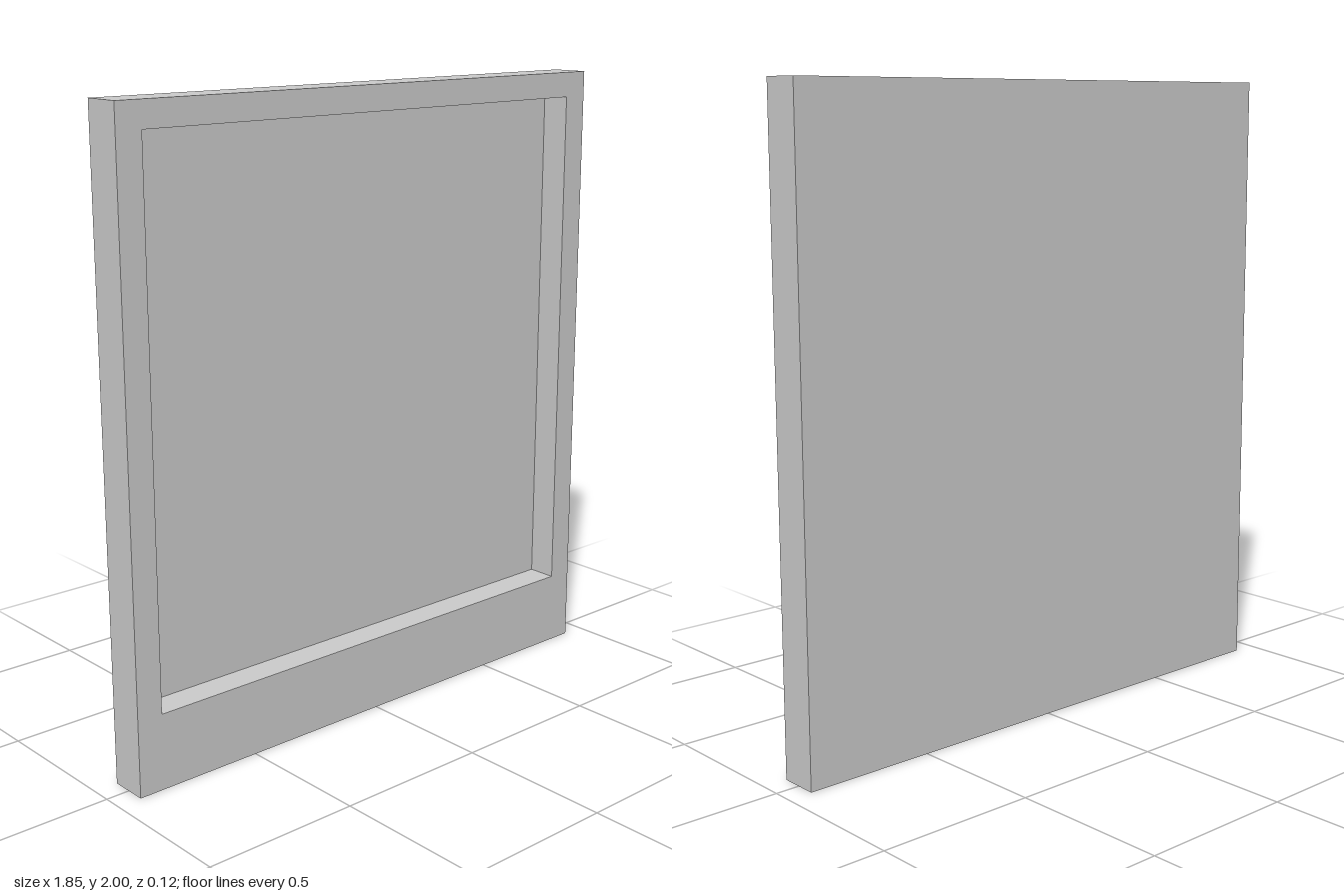
import * as THREE from 'three';

const W = 0.924, H = 2, Z = 0.062;                            // outer half width, height, half depth
const OPEN = { x: 0.84, y0: 0.24, y1: 1.92, z: Z - 0.096 };   // picture recess

// Four corners, counter-clockwise seen from the front
const loop = (x, y0, y1, z) => [[-x, y0, z], [x, y0, z], [x, y1, z], [-x, y1, z]];

// Skin successive loops into one closed shell with flat faces
function shell(loops) {
  const pos = [];
  const quad = (a, b, c, d) => pos.push(...a, ...b, ...c, ...a, ...c, ...d);
  for (let k = 0; k < loops.length - 1; k++) {
    const a = loops[k], b = loops[k + 1];
    for (let i = 0; i < 4; i++) {
      const j = (i + 1) % 4;
      quad(a[i], a[j], b[j], b[i]);
    }
  }
  quad(...[...loops[0]].reverse());
  quad(...loops[loops.length - 1]);
  const g = new THREE.BufferGeometry();
  g.setAttribute('position', new THREE.Float32BufferAttribute(pos, 3));
  g.computeVertexNormals();
  return g;
}

export function createModel() {
  const group = new THREE.Group();
  group.name = 'pictureFrame';

  // Back edge, front edge, opening rim, recessed panel
  const frame = new THREE.Mesh(
    shell([
      loop(W, 0, H, -Z),
      loop(W, 0, H, Z),
      loop(OPEN.x, OPEN.y0, OPEN.y1, Z),
      loop(OPEN.x, OPEN.y0, OPEN.y1, OPEN.z),
    ]),
    new THREE.MeshStandardMaterial({ color: 0xcccccc, flatShading: true })
  );
  frame.name = 'frameWithRecessedPanel';
  group.add(frame);
  return group;
}
